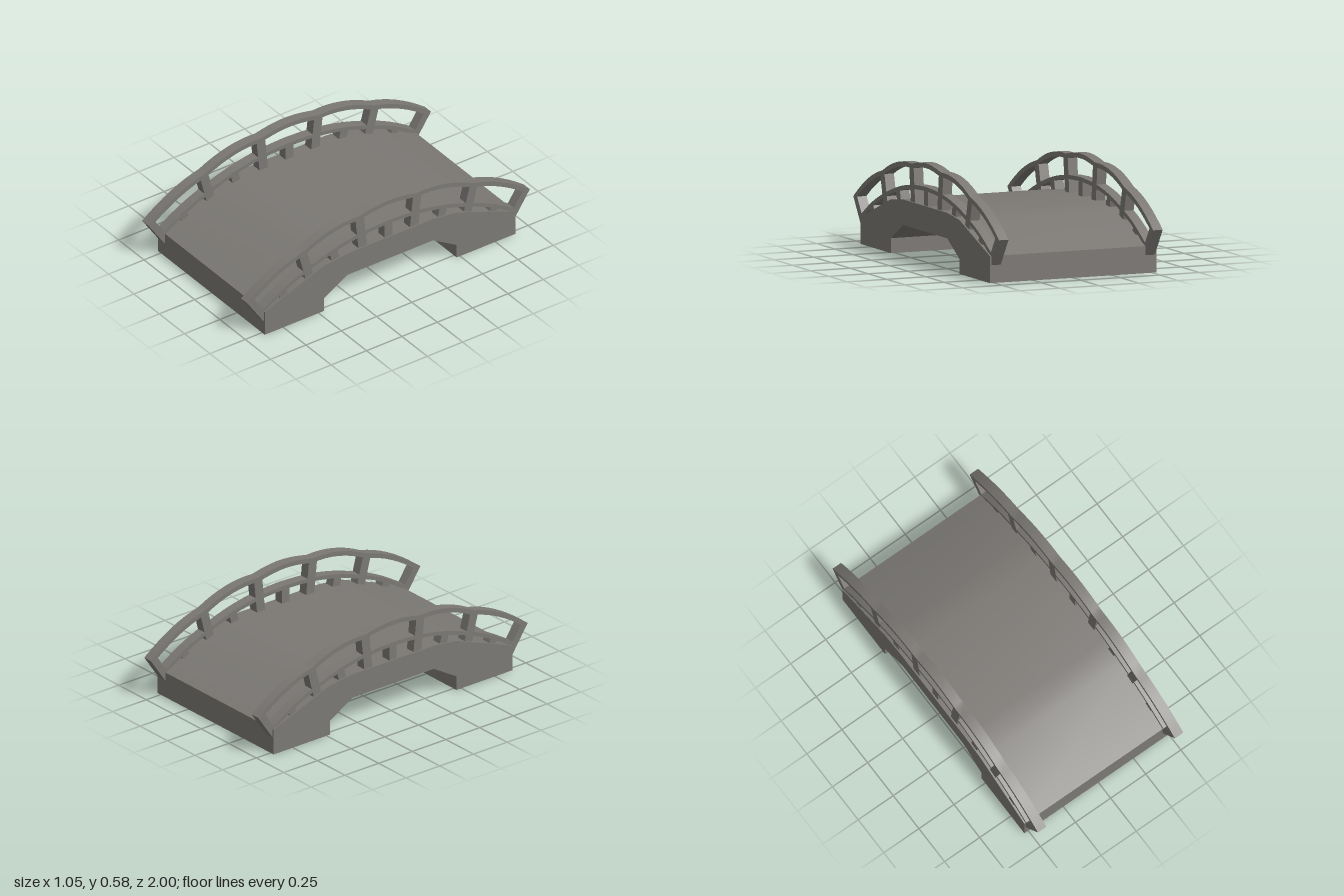
import * as THREE from 'three';
import { toCreasedNormals } from 'three/addons/utils/BufferGeometryUtils.js';

const stone = new THREE.MeshStandardMaterial({ color: 0x7b7874 });
stone.name = 'grey stone';

// Extrude a side profile of [z, y] points across a given width, centred on x = 0
function slab(name, points, width, crease = 0.65) {
  const shape = new THREE.Shape(points.map(([z, y]) => new THREE.Vector2(z, y)));
  const geo = new THREE.ExtrudeGeometry(shape, { depth: width, bevelEnabled: false });
  geo.translate(0, 0, -width / 2);
  geo.rotateY(-Math.PI / 2);
  const mesh = new THREE.Mesh(toCreasedNormals(geo, crease), stone);
  mesh.name = name;
  return mesh;
}

// Mirror a half profile, running from the front to the middle, to the back
const mirror = (half) => [
  ...half,
  ...half.filter(([z]) => z > 0.001).reverse().map(([z, y]) => [-z, y]),
];

// Closed strip of the given thickness hanging below a line of top points
function strip(top, thickness) {
  const under = top.map(([z, y], i) => {
    const a = top[Math.max(i - 1, 0)], b = top[Math.min(i + 1, top.length - 1)];
    const dz = b[0] - a[0], dy = b[1] - a[1], len = Math.hypot(dz, dy);
    return [z - (dy / len) * thickness, y + (dz / len) * thickness];
  });
  return [...top, ...under.reverse()];
}

// Leaning post between a foot and a head, with parallel sides
function post(name, foot, head, w, width) {
  const dz = head[0] - foot[0], dy = head[1] - foot[1], len = Math.hypot(dz, dy);
  const nz = (dy / len) * w / 2, ny = (-dz / len) * w / 2;
  return slab(name, [
    [foot[0] - nz, foot[1] - ny], [foot[0] + nz, foot[1] + ny],
    [head[0] + nz, head[1] + ny], [head[0] - nz, head[1] - ny],
  ], width);
}

function createRailing() {
  const railing = new THREE.Group();
  const W = 0.06;

  // Scalloped handrail: one bulging arc for each bay
  const bays = [
    [[1.0, 0.262], [0.8, 0.418], [0.6, 0.463]],
    [[0.6, 0.463], [0.4, 0.567], [0.2, 0.553]],
    [[0.2, 0.553], [0.09, 0.58], [0, 0.58]],
  ];
  const top = [];
  bays.forEach((bay, b) => {
    const curve = new THREE.QuadraticBezierCurve(...bay.map((p) => new THREE.Vector2(...p)));
    curve.getPoints(8).slice(b ? 1 : 0).forEach((p) => top.push([p.x, p.y]));
  });
  railing.add(slab('handrail', strip(mirror(top), 0.028), W));

  // Lower rail following the deck
  const low = new THREE.SplineCurve([
    [0.905, 0.165], [0.75, 0.258], [0.6, 0.325], [0.4, 0.392], [0.2, 0.431], [0, 0.443],
  ].map((p) => new THREE.Vector2(...p))).getPoints(15).map((p) => [p.x, p.y]);
  railing.add(slab('lowerRail', strip(mirror(low), 0.024), W));

  for (const s of [1, -1]) {
    // Splayed end post
    railing.add(slab('endPost', [
      [s * 1.0, 0.262], [s * 0.885, 0.092], [s * 0.848, 0.118], [s * 0.963, 0.288],
    ], W));
    // Main posts and short balusters
    railing.add(post('mainPost', [s * 0.55, 0.24], [s * 0.604, 0.45], 0.058, W));
    railing.add(post('mainPost', [s * 0.18, 0.31], [s * 0.204, 0.541], 0.06, W));
    railing.add(post('baluster', [s * 0.73, 0.19], [s * 0.753, 0.243], 0.052, W));
    railing.add(post('baluster', [s * 0.37, 0.3], [s * 0.39, 0.384], 0.054, W));
  }
  railing.add(post('baluster', [0, 0.31], [0, 0.43], 0.055, W));
  return railing;
}

export function createModel() {
  const model = new THREE.Group();
  model.name = 'archedBridge';

  // Solid span with sloped deck, two footings and a chamfered arch
  const span = slab('span', [
    ...mirror([[0.887, 0], [0.887, 0.157], [0.47, 0.313], [0.3, 0.333]]),
    ...mirror([[0.47, 0], [0.47, 0.087], [0.302, 0.185]]).reverse(),
  ], 1.054);
  span.position.z = -0.006;
  model.add(span);

  for (const [name, x] of [['leftRailing', 0.488], ['rightRailing', -0.488]]) {
    const railing = createRailing();
    railing.name = name;
    railing.position.x = x;
    model.add(railing);
  }
  return model;
}
